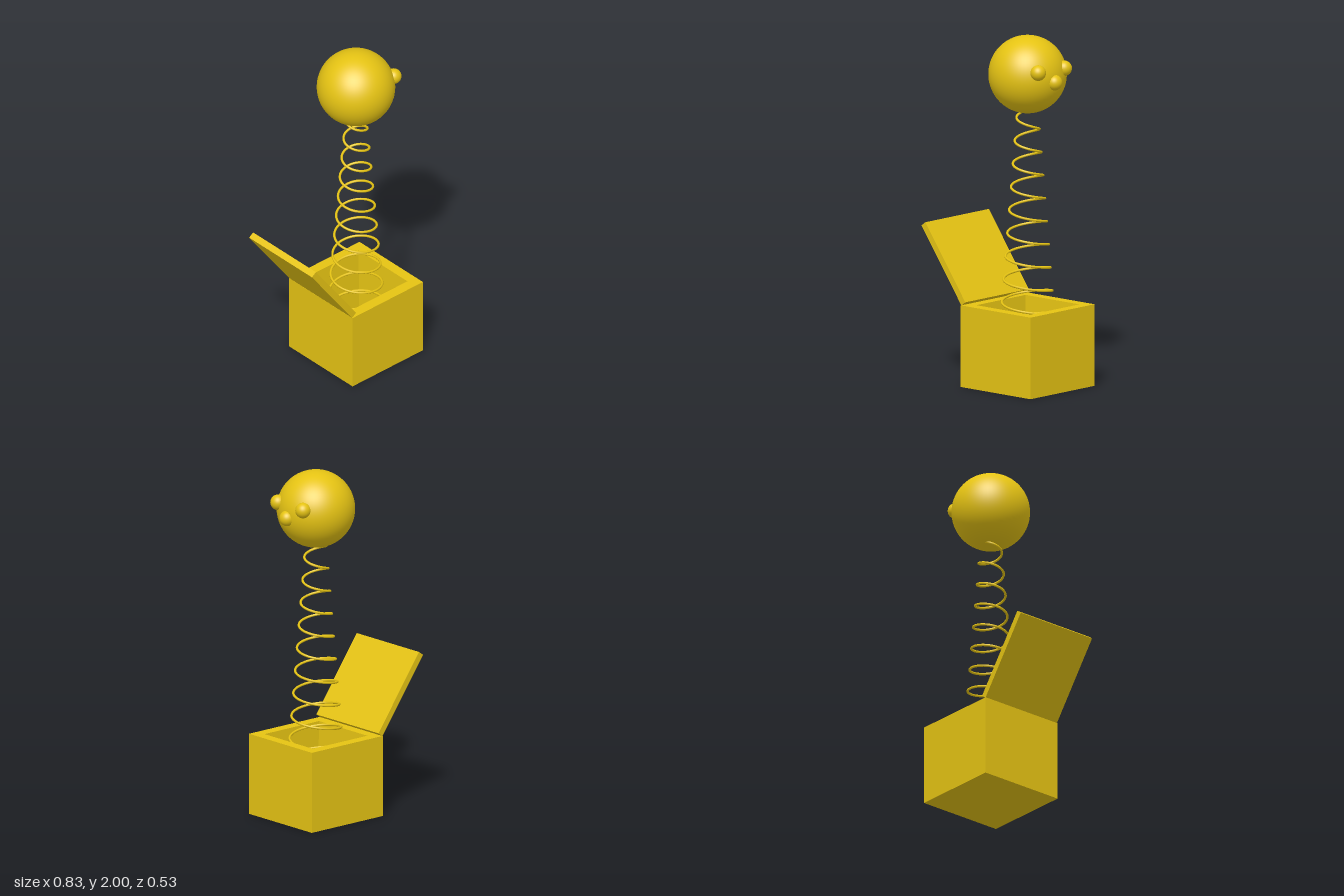
import * as THREE from 'three';

const material = new THREE.MeshStandardMaterial({ color: 0xe5c313 });
const AXIS_X = 0.15; // centre line of box, spring and head

function addMesh(group, name, geometry, x = 0, y = 0, z = 0) {
  const mesh = new THREE.Mesh(geometry, material);
  mesh.name = name;
  mesh.position.set(x, y, z);
  group.add(mesh);
  return mesh;
}

// Rectangular ring of corners, counter-clockwise seen from above
const ring = (x0, x1, z0, z1, y) => [[x0, y, z1], [x1, y, z1], [x1, y, z0], [x0, y, z0]];

// Hollow box with a tapering cavity: skin four rings, then close floor and base
function openBox() {
  const rings = [
    ring(-0.115, 0.415, -0.265, 0.265, 0),
    ring(-0.115, 0.415, -0.265, 0.265, 0.465),
    ring(-0.053, 0.355, -0.205, 0.202, 0.465),
    ring(-0.03, 0.33, -0.175, 0.187, 0.06),
  ];
  const points = [];
  const quad = (a, b, c, d) => points.push(...a, ...b, ...c, ...a, ...c, ...d);
  for (let r = 0; r < 3; r++) {
    for (let i = 0; i < 4; i++) {
      const j = (i + 1) % 4;
      quad(rings[r][i], rings[r][j], rings[r + 1][j], rings[r + 1][i]);
    }
  }
  quad(...rings[3]);
  quad(...[...rings[0]].reverse());
  const geometry = new THREE.BufferGeometry();
  geometry.setAttribute('position', new THREE.Float32BufferAttribute(points, 3));
  geometry.computeVertexNormals();
  return geometry;
}

// Helix that narrows towards the head
class SpringCurve extends THREE.Curve {
  getPoint(t, target = new THREE.Vector3()) {
    const y = 0.08 + t * 1.5;
    const angle = (2 * Math.PI * (y - 0.562)) / 0.1315;
    const radius = 0.138 - 0.078 * (y - 0.56);
    return target.set(radius * Math.cos(angle), y, radius * Math.sin(angle));
  }
}

export function createModel() {
  const model = new THREE.Group();
  model.name = 'jackInTheBox';

  addMesh(model, 'box', openBox());

  // Lid hinged on the left edge of the box, leaning open
  const lid = addMesh(model, 'lid', new THREE.BoxGeometry(0.515, 0.037, 0.525), -0.25, 0.683, -0.002);
  lid.rotation.z = Math.atan2(-0.42, 0.305);

  addMesh(model, 'spring', new THREE.TubeGeometry(new SpringCurve(), 640, 0.007, 8), AXIS_X);

  // Head with the face turned to +x
  const head = new THREE.Group();
  head.name = 'head';
  head.position.set(AXIS_X, 1.78, 0);
  model.add(head);
  addMesh(head, 'skull', new THREE.SphereGeometry(0.22, 64, 40));
  const bead = new THREE.SphereGeometry(0.044, 32, 20);
  addMesh(head, 'leftEye', bead, 0.185, 0.043, -0.101);
  addMesh(head, 'rightEye', bead, 0.183, 0.046, 0.112);
  addMesh(head, 'nose', bead, 0.21, -0.02, 0.006);

  return model;
}
